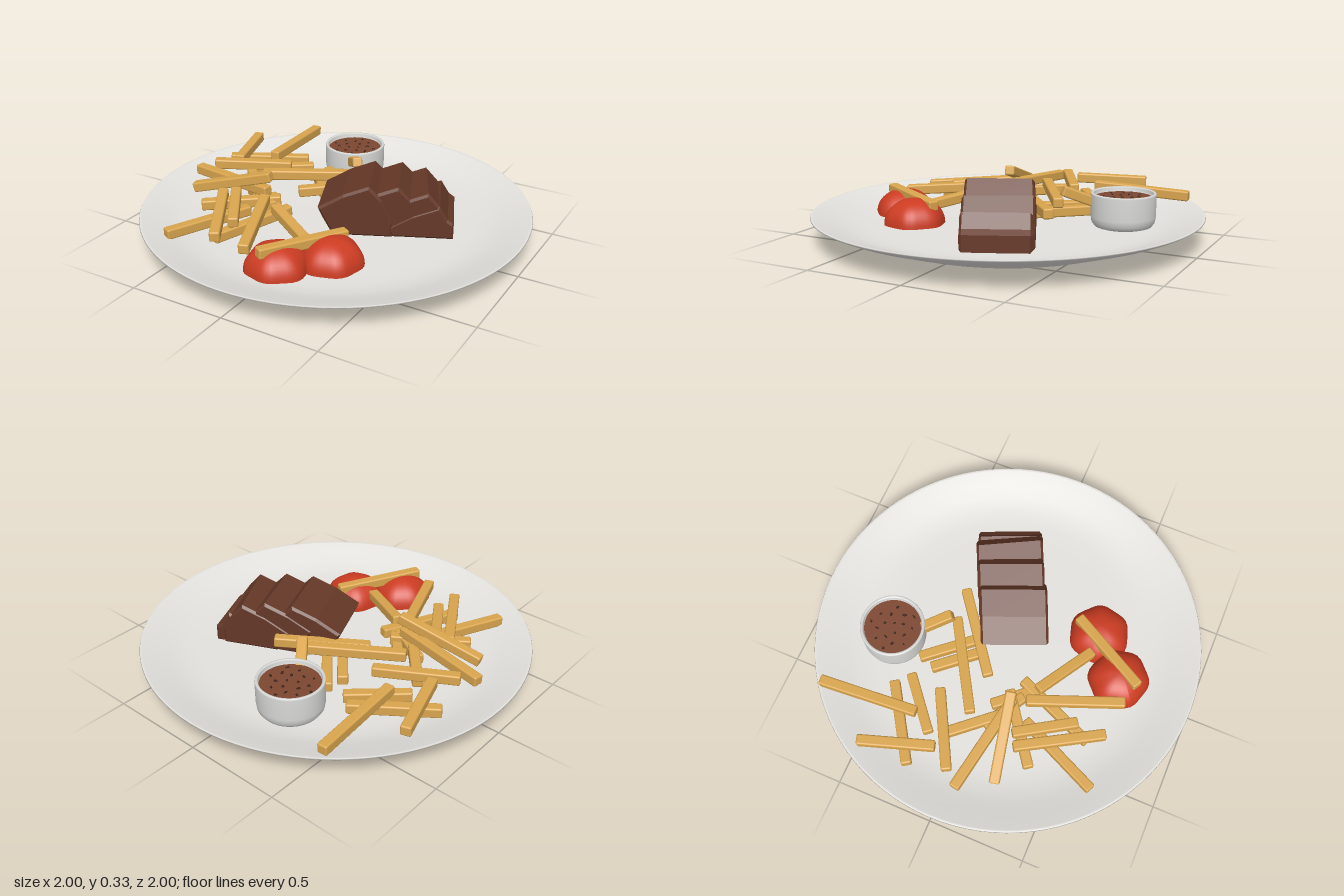
import * as THREE from 'three';
import { RoundedBoxGeometry } from 'three/addons/geometries/RoundedBoxGeometry.js';

const mat = (name, color, extra = {}) => {
  const m = new THREE.MeshStandardMaterial({ color, ...extra });
  m.name = name;
  return m;
};
const vec2 = (pts) => pts.map(([x, y]) => new THREE.Vector2(x, y));

export function createModel() {
  const model = new THREE.Group();
  model.name = 'steakDinner';
  const china = mat('china', 0xe4e2de);
  const cupWhite = mat('cupWhite', 0xd9d9d7);
  const potato = mat('potato', 0xd9a54e);
  const meat = mat('meat', 0x653827);
  const tomatoRed = mat('tomatoRed', 0xcc3c22);
  const sauceBrown = mat('sauceBrown', 0x7d4630);
  const pepper = mat('pepper', 0x402419);

  const add = (parent, geometry, material, name, x = 0, y = 0, z = 0) => {
    const mesh = new THREE.Mesh(geometry, material);
    mesh.name = name;
    mesh.position.set(x, y, z);
    parent.add(mesh);
    return mesh;
  };

  let seed = 7;
  const rand = () => (seed = (seed * 16807) % 2147483647) / 2147483647;

  // Plate: foot ring, sloping underside, thin rim, shallow well
  add(model, new THREE.LatheGeometry(vec2([
    [0, 0.02], [0.5, 0.02], [0.55, 0.014], [0.585, 0.001], [0.63, 0], [0.67, 0.012],
    [0.8, 0.055], [0.92, 0.096], [0.98, 0.122], [1, 0.134], [0.997, 0.139], [0.985, 0.137],
    [0.92, 0.116], [0.85, 0.093], [0.78, 0.074], [0.7, 0.066], [0.6, 0.064], [0, 0.064],
  ]), 96), china, 'plate');

  // Sauce cup with sauce and pepper flecks
  const cup = new THREE.Group();
  cup.name = 'sauceCup';
  cup.position.set(-0.2, 0, -0.555);
  model.add(cup);
  add(cup, new THREE.LatheGeometry(vec2([
    [0, 0.062], [0.12, 0.062], [0.145, 0.07], [0.16, 0.09], [0.165, 0.12], [0.166, 0.232],
    [0.163, 0.24], [0.153, 0.24], [0.149, 0.233], [0.147, 0.19], [0, 0.19],
  ]), 48), cupWhite, 'cup');
  add(cup, new THREE.CylinderGeometry(0.147, 0.147, 0.01, 48), sauceBrown, 'sauce', 0, 0.211, 0);
  for (let i = 0; i < 18; i++) {
    const a = i * 2.4, r = 0.125 * Math.sqrt((i + 0.5) / 18);
    const fleck = add(cup, new THREE.CylinderGeometry(0.007, 0.009, 0.006, 6), pepper, 'pepperFleck',
      Math.cos(a) * r, 0.218, Math.sin(a) * r);
    fleck.scale.set(0.6 + rand(), 1, 0.5 + rand() * 0.5);
    fleck.rotation.y = rand() * 3;
  }

  // Sliced steak: overlapping leaning slabs along one diagonal
  const steak = new THREE.Group();
  steak.name = 'steak';
  steak.rotation.y = 0.43;
  model.add(steak);
  // ridge position, ridge height, near side, far side, foot overhang
  [
    [0.2, 0.33, 0.205, -0.14, 0.1],
    [0.33, 0.328, 0.195, -0.145, 0.1],
    [0.47, 0.3, 0.195, -0.15, 0.09],
    [0.545, 0.235, 0.2, -0.14, 0.055],
  ].forEach(([u, h, near, far, foot], i) => {
    const b = 0.012;
    const shape = new THREE.Shape(vec2([
      [u - 0.01, h - b], [u - 0.13, h - 0.058], [u - 0.245, h - 0.125],
      [u - 0.23, h - 0.16], [u - 0.18, 0.075], [u + foot, 0.075],
      [u + foot, 0.14], [u + foot * 0.5, h - 0.075],
    ]));
    const g = new THREE.ExtrudeGeometry(shape, {
      depth: near - far - 2 * b, bevelSize: b, bevelThickness: b, bevelSegments: 1,
    });
    // skew each cut a little
    const p = g.attributes.position;
    for (let k = 0; k < p.count; k++) {
      p.setX(k, p.getX(k) + 0.012 * Math.sin(p.getZ(k) * 14 + i * 2));
    }
    g.computeVertexNormals();
    add(steak, g, meat, 'steakSlice', 0, 0, far + b);
  });

  // Tomato halves: domes with softly lobed outlines
  const tomato = (x, z, r, h, turn) => {
    const g = new THREE.SphereGeometry(1, 36, 12, 0, Math.PI * 2, 0, Math.PI / 2);
    const p = g.attributes.position;
    for (let k = 0; k < p.count; k++) {
      const a = Math.atan2(p.getZ(k), p.getX(k));
      const s = r * (1 + 0.035 * Math.cos(6 * a));
      p.setXYZ(k, p.getX(k) * s, Math.pow(Math.max(p.getY(k), 0), 0.9) * h, p.getZ(k) * s);
    }
    g.computeVertexNormals();
    add(model, g, tomatoRed, 'tomatoHalf', x, 0.06, z).rotation.y = turn;
  };
  tomato(0.225, 0.425, 0.155, 0.135, 0.3);
  tomato(0.035, 0.605, 0.155, 0.135, 0.75);

  // Fries: start x, y, z and end x, y, z, slightly bowed
  const fries = new THREE.Group();
  fries.name = 'fries';
  model.add(fries);
  [
    [-0.59, 0.17, -0.78, -0.556, 0.19, -0.26],
    [-0.8, 0.19, -0.47, -0.68, 0.2, -0.1],
    [-0.81, 0.15, -0.2, -0.44, 0.13, -0.44],
    [-0.62, 0.13, -0.17, -0.37, 0.12, -0.38],
    [-0.77, 0.2, 0, -0.4, 0.19, -0.2],
    [-0.46, 0.2, -0.01, -0.02, 0.19, -0.275],
    [-0.235, 0.15, -0.01, 0.15, 0.17, -0.3],
    [-0.14, 0.19, -0.42, -0.035, 0.255, -0.29],
    [-0.27, 0.12, -0.38, -0.03, 0.12, -0.1],
    [-0.3, 0.13, -0.3, -0.12, 0.13, -0.09],
    [-0.6, 0.15, -0.1, -0.4, 0.15, 0.13],
    [-0.48, 0.14, 0.07, -0.26, 0.14, 0.2],
    [-0.59, 0.14, 0.36, -0.26, 0.15, 0.12],
    [-0.565, 0.12, 0.68, -0.37, 0.12, 0.25],
    [-0.53, 0.18, 0.25, -0.29, 0.16, 0.65],
    [-0.47, 0.19, 0.22, -0.29, 0.17, 0.5],
    [-0.29, 0.19, 0.22, -0.1, 0.16, 0.68],
    [-0.35, 0.11, 0.58, -0.18, 0.13, 0.16],
    [-0.83, 0.18, 0.065, -0.31, 0.2, 0.16],
    [-0.73, 0.16, 0.235, -0.3, 0.28, 0.145],
    [-0.36, 0.12, 0.06, -0.22, 0.12, 0.22],
    [-0.21, 0.17, 0.25, 0.1, 0.13, 0.43],
    [0, 0.185, 0.71, 0.235, 0.165, 0.3],
  ].forEach(([ax, ay, az, bx, by, bz]) => {
    const a = new THREE.Vector3(ax, ay, az), b = new THREE.Vector3(bx, by, bz);
    const len = a.distanceTo(b), bow = (rand() - 0.5) * 0.03;
    const g = new RoundedBoxGeometry(0.053, 0.053, len, 4, 0.009);
    const p = g.attributes.position;
    for (let k = 0; k < p.count; k++) {
      p.setX(k, p.getX(k) + bow * (1 - (2 * p.getZ(k) / len) ** 2));
    }
    const fry = add(fries, g, potato, 'fry');
    fry.position.copy(a).lerp(b, 0.5);
    fry.lookAt(b);
  });

  return model;
}
